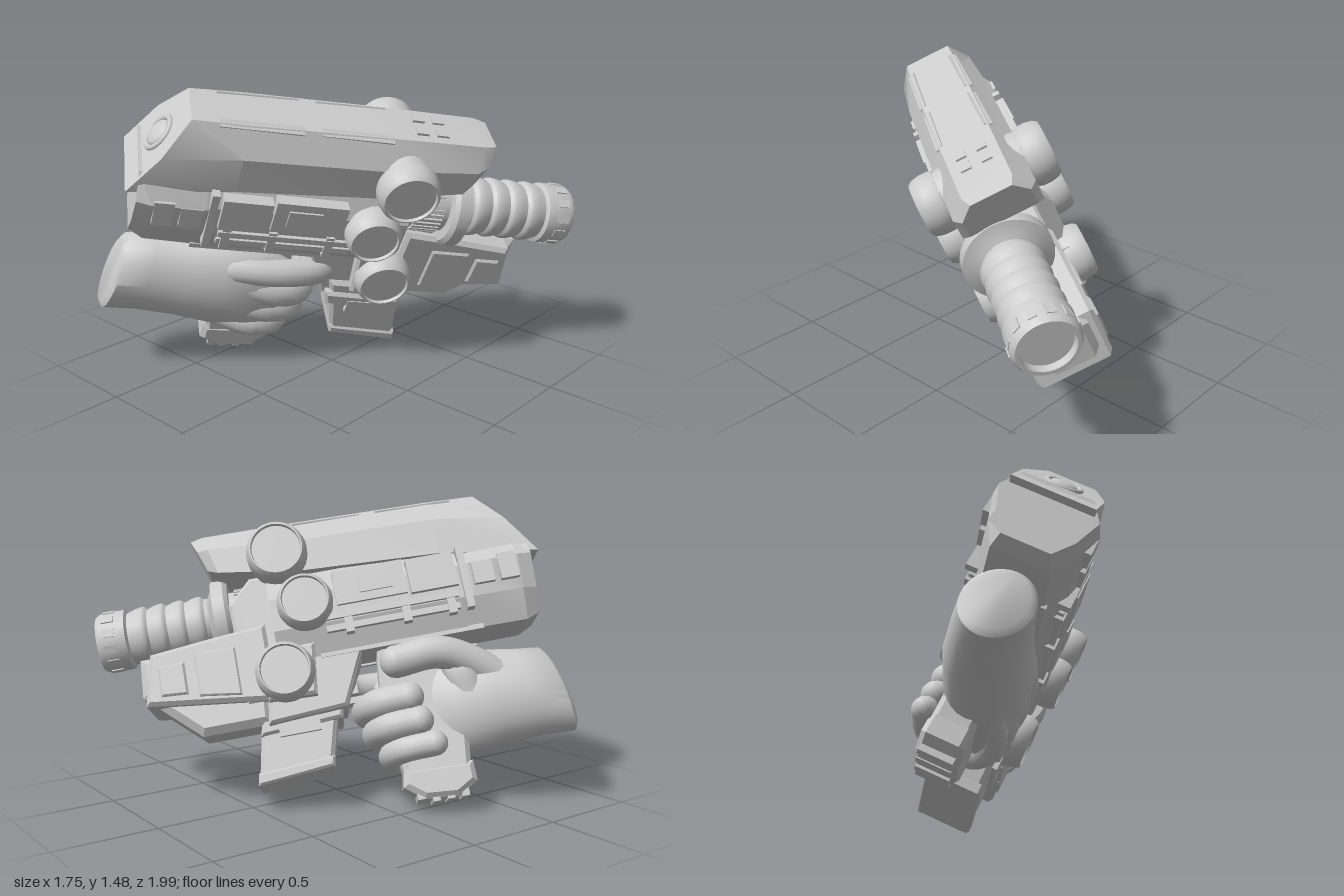
import * as THREE from 'three';
import { toCreasedNormals } from 'three/addons/utils/BufferGeometryUtils.js';

const mat = new THREE.MeshStandardMaterial({ color: 0xcccccc, side: THREE.DoubleSide });

// Working frame: x = towards the muzzle, y = up, z = the gun's right side.
export function createModel() {
  const model = new THREE.Group();
  const gun = new THREE.Group();
  gun.name = 'handAndGun';
  model.add(gun);

  const add = (name, geo, x = 0, y = 0, z = 0, parent = gun) => {
    const m = new THREE.Mesh(geo, mat);
    m.name = name;
    m.position.set(x, y, z);
    parent.add(m);
    return m;
  };
  const box = (name, x0, x1, y0, y1, z0, z1) =>
    add(name, new THREE.BoxGeometry(x1 - x0, y1 - y0, z1 - z0), (x0 + x1) / 2, (y0 + y1) / 2, (z0 + z1) / 2);

  // Side profile extruded across the gun, with bevelled edges
  const slab = (name, pts, width, bevel = 0.015, z = 0) => {
    const shape = new THREE.Shape(pts.map(p => new THREE.Vector2(...p)));
    const geo = new THREE.ExtrudeGeometry(shape, {
      depth: width - 2 * bevel, bevelSize: bevel, bevelThickness: bevel, bevelOffset: -bevel, bevelSegments: 1,
    });
    geo.translate(0, 0, -width / 2 + bevel);
    return add(name, geo, 0, 0, z);
  };

  // Closed skin over a list of rings of [x, y, z]
  const loft = (name, rings, crease) => {
    const n = rings[0].length, last = (rings.length - 1) * n, index = [];
    for (let i = 0; i < rings.length - 1; i++) {
      for (let j = 0; j < n; j++) {
        const a = i * n + j, b = i * n + (j + 1) % n;
        index.push(a, b, b + n, a, b + n, a + n);
      }
    }
    for (let j = 1; j < n - 1; j++) index.push(0, j + 1, j, last, last + j, last + j + 1);
    const geo = new THREE.BufferGeometry();
    geo.setAttribute('position', new THREE.Float32BufferAttribute(rings.flat(2), 3));
    geo.setIndex(index);
    return add(name, toCreasedNormals(geo, crease));
  };

  // Lathe around the barrel axis
  const axisY = 0.19, axisZ = 0.06;
  const turned = (name, pts) => {
    const geo = new THREE.LatheGeometry(pts.map(([x, r]) => new THREE.Vector2(r, x)), 40);
    geo.rotateZ(-Math.PI / 2);
    return add(name, toCreasedNormals(geo, 0.6), 0, axisY, axisZ);
  };

  // Top housing: sheared sections give the sloped rear and front
  const housing = [
    { x: -1.04, b: 0.18, s: 0.38, t: 0.55, w: 0.2, k: 0.64 },
    { x: -0.56, b: 0.25, s: 0.43, t: 0.56, w: 0.21, k: 0 },
    { x: 0.1, b: 0.29, s: 0.45, t: 0.58, w: 0.205, k: 0 },
    { x: 0.52, b: 0.36, s: 0.49, t: 0.59, w: 0.195, k: 0.25 },
    { x: 0.57, b: 0.39, s: 0.5, t: 0.585, w: 0.16, k: 0.35 },
  ].map(({ x, b, s, t, w, k }) =>
    [[t, -0.6 * w], [t, 0.6 * w], [s, w], [b, w], [b, -w], [s, -w]].map(([y, z]) => [x + k * (y - b), y, z]));
  loft('topHousing', housing, 0.5);

  // Button on the sloped rear face
  const button = new THREE.Group();
  button.name = 'rearButton';
  button.position.set(-0.915, 0.375, 0);
  button.quaternion.setFromUnitVectors(new THREE.Vector3(0, 0, 1), new THREE.Vector3(-0.84, 0.54, 0));
  gun.add(button);
  add('buttonRim', new THREE.TorusGeometry(0.08, 0.014, 8, 28), 0, 0, 0, button);
  add('buttonCap', new THREE.SphereGeometry(0.065, 24, 12).scale(1, 1, 0.3), 0, 0, 0.003, button);

  // Receiver body: octagonal section, flared at the upper rear and tapered below
  const body = [[-0.99, 0.235, 0.185, 0.03], [-0.92, 0.255, 0.21, 0], [-0.68, 0.25, 0.22, 0], [-0.62, 0.235, 0.23, 0], [0.3, 0.23, 0.23, 0]]
    .map(([x, w, v, lift]) =>
      [[0.28, -0.17], [0.28, 0.17], [0.16, w], [0, v], [-0.14 + lift, v - 0.07], [-0.14 + lift, 0.07 - v], [0, -v], [0.16, -w]]
        .map(([y, z]) => [x, y, z]));
  loft('receiver', body, 0.2);
  slab('frontBlock', [[0.2, 0.32], [0.38, 0.32], [0.5, 0.2], [0.48, -0.3], [0.2, -0.3]], 0.3);
  slab('lowerFrame', [[-0.12, -0.1], [0.36, -0.1], [0.4, -0.42], [0.02, -0.4]], 0.32);
  slab('drumBlock', [[0.12, -0.08], [0.36, -0.08], [0.38, -0.32], [0.15, -0.33]], 0.44);

  // Mirrored side panels, rails and round drums
  const drumProfile = r => [[0, 0.12], [r * 0.95, 0.12], [r, 0.1], [r, 0.055], [r * 0.95, 0.02], [r * 0.86, 0], [r * 0.82, 0], [r * 0.79, 0.015], [0, 0.015]]
    .map(([a, d]) => new THREE.Vector2(a, -d));
  for (const s of [-1, 1]) {
    const plate = (name, x0, x1, y0, y1, out) =>
      box(name, x0, x1, y0, y1, ...(s > 0 ? [0.14, out] : [-out, -0.14]));
    plate('rearPanel', -0.91, -0.82, 0.05, 0.18, 0.255);
    plate('rearPanelInset', -0.79, -0.69, 0.05, 0.16, 0.255);
    plate('panelRib', -0.665, -0.63, -0.06, 0.25, 0.255);
    plate('upperPanel', -0.61, -0.38, 0.06, 0.23, 0.26);
    plate('upperPanel', -0.365, -0.02, 0.07, 0.24, 0.25);
    plate('panelWindow', -0.3, -0.14, 0.11, 0.2, 0.26);
    plate('sideRail', -0.6, 0.05, 0.005, 0.035, 0.25);
    plate('sideRail', -0.6, 0.05, -0.05, -0.02, 0.235);
    for (const x of [-0.58, -0.36, -0.08]) plate('railClamp', x, x + 0.04, -0.07, 0.05, 0.245);
    plate('lowerRail', -0.7, 0.1, -0.15, -0.125, 0.165);

    [[0.22, 0.385, 0.148, 0.325], [0.13, 0.11, 0.135, 0.325], [0.28, -0.2, 0.142, 0.29]].forEach(([x, y, r, out]) => {
      const drum = new THREE.LatheGeometry(drumProfile(r), 36);
      drum.rotateX(s * Math.PI / 2);
      add('sideDrum', toCreasedNormals(drum, 0.5), x, y, s * out);
      const hub = new THREE.CylinderGeometry(r * 0.85, r * 0.95, out - 0.2, 24);
      hub.rotateX(s * Math.PI / 2);
      add('drumMount', hub, x, y, s * (0.12 + out) / 2);
    });

    // Foregrip side details
    slab('foregripPanel', [[0.5, -0.02], [0.7, -0.02], [0.7, -0.23], [0.5, -0.26]], 0.025, 0.008, 0.01 + s * 0.18);
    slab('foregripInset', [[0.75, -0.05], [0.88, -0.05], [0.88, -0.2], [0.75, -0.21]], 0.025, 0.01, 0.01 + s * 0.18);
    box('magazinePlate', 0.16, 0.36, -0.48, -0.4, s > 0 ? 0.17 : -0.11, s > 0 ? 0.21 : -0.07);

    // Long slots along the shoulders of the housing
    for (const [x0, x1] of [[-0.68, -0.3], [-0.22, 0.12]]) {
      const strip = box('topSlot', x0, x1, -0.006, 0.006, -0.02, 0.02);
      strip.position.set((x0 + x1) / 2, 0.568 + (x0 + x1) * 0.014, s * 0.12);
      strip.rotation.set(s * 0.5, 0, 0.03);
    }
  }
  for (const x of [0.24, 0.34]) for (const z of [-0.05, 0.05]) {
    box('topNub', x, x + 0.06, 0.57, 0.595, z - 0.025, z + 0.025);
  }

  // Foregrip under the barrel: broad cheeks around a deeper, narrower keel
  slab('foregripCheeks', [[0.34, 0.07], [0.6, 0.05], [0.91, 0.02], [0.96, -0.23], [0.34, -0.31]], 0.36, 0.02, 0.01);
  slab('foregripKeel', [[0.36, 0.02], [0.97, 0.02], [0.98, -0.17], [0.72, -0.41], [0.38, -0.41]], 0.25, 0.035);

  // Magazine with a stepped base
  slab('magazine', [[0.04, -0.3], [0.42, -0.3], [0.49, -0.66], [0.13, -0.64]], 0.27, 0.02, 0.05);
  slab('magazineCollar', [[0.03, -0.36], [0.43, -0.37], [0.45, -0.46], [0.05, -0.44]], 0.31, 0.015, 0.05);
  slab('magazineBase', [[0.12, -0.61], [0.49, -0.63], [0.5, -0.69], [0.13, -0.66]], 0.29, 0.012, 0.05);

  // Barrel: base, knurled ring, collar, wavy sleeve and hollow muzzle
  const barrel = [[0.3, 0], [0.3, 0.14], [0.5, 0.14], [0.5, 0.19], [0.52, 0.21], [0.58, 0.21], [0.59, 0.17], [0.61, 0.13]];
  for (let i = 0; i < 4; i++) {
    const x = 0.63 + i * 0.096;
    barrel.push([x, 0.133], [x + 0.014, 0.147], [x + 0.03, 0.15], [x + 0.06, 0.145], [x + 0.08, 0.138]);
  }
  barrel.push([1.02, 0.132], [1.03, 0.152], [1.15, 0.152], [1.175, 0.138], [1.175, 0.12], [1.14, 0.117], [1.14, 0]);
  turned('barrel', barrel);
  for (let i = 0; i < 36; i++) {
    const a = i / 36 * Math.PI * 2;
    const rib = box('knurl', 0.33, 0.47, -0.007, 0.007, -0.008, 0.008);
    rib.position.set(0.4, axisY + 0.145 * Math.cos(a), axisZ + 0.145 * Math.sin(a));
    rib.rotation.x = a;
    if (i % 3) continue;
    const lug = box('muzzleLug', 0, 0.06, 0, 0.018, 0, 0.04);
    lug.position.set(1.11, axisY + 0.147 * Math.cos(a), axisZ + 0.147 * Math.sin(a));
    lug.rotation.x = a;
  }

  // Pistol grip, heel plate, trigger and guard
  slab('pistolGrip', [[-0.5, -0.1], [-0.18, -0.1], [-0.15, -0.35], [-0.19, -0.8], [-0.5, -0.82], [-0.53, -0.6]], 0.19, 0.025, 0.02);
  slab('gripHeel', [[-0.52, -0.75], [-0.19, -0.73], [-0.17, -0.82], [-0.26, -0.89], [-0.42, -0.905], [-0.52, -0.85]], 0.2, 0.025, 0.02);
  for (let i = 0; i < 4; i++) box('heelRib', -0.47 + i * 0.07, -0.435 + i * 0.07, -0.91 + Math.max(0, i - 2) * 0.02, -0.78, -0.06, 0.1);
  box('triggerGuard', -0.16, 0.1, -0.37, -0.34, -0.04, 0.06);
  box('trigger', -0.05, -0.01, -0.32, -0.12, -0.02, 0.03);

  // Wrist and palm, elliptical rings slanted at the cuff
  const palm = [
    [-1.03, -0.47, 0.03, 0.19, 0.12, 0.2], [-1.01, -0.47, 0.03, 0.22, 0.15, 0.2], [-0.86, -0.46, 0.025, 0.225, 0.165, 0.15],
    [-0.68, -0.45, 0.03, 0.245, 0.185, 0.08], [-0.5, -0.44, 0.06, 0.27, 0.19, 0], [-0.34, -0.44, 0.1, 0.27, 0.15, 0],
    [-0.22, -0.44, 0.13, 0.24, 0.1, 0], [-0.14, -0.44, 0.13, 0.19, 0.05, 0],
  ].map(([x, y, z, ry, rz, slant]) => Array.from({ length: 32 }, (_, j) => {
    const a = j / 32 * Math.PI * 2, c = Math.cos(a) * ry;
    return [x + slant * c, y + c, z + Math.sin(a) * rz];
  }));
  loft('palmAndWrist', palm, 0.9);

  // Fingers: tubes along curves, closed with rounded ends
  const finger = (name, r, pts) => {
    const path = new THREE.CatmullRomCurve3(pts.map(p => new THREE.Vector3(...p)));
    add(name, new THREE.TubeGeometry(path, 36, r, 14));
    for (const p of [pts[0], pts[pts.length - 1]]) add(name + 'End', new THREE.SphereGeometry(r, 14, 10), ...p);
  };
  finger('indexFinger', 0.07, [[-0.62, -0.33, 0.09], [-0.42, -0.28, 0.16], [-0.2, -0.26, 0.18], [-0.02, -0.26, 0.13], [0.03, -0.26, 0.03], [0.02, -0.26, -0.09]]);
  [[-0.41, -0.075, 0.073], [-0.53, -0.1, 0.07], [-0.65, -0.15, 0.062]].forEach(([y, front, r], i) => {
    finger(['middleFinger', 'ringFinger', 'littleFinger'][i], r, [
      [-0.64, y * 0.5 - 0.2, 0.08], [-0.45, y + 0.04, 0.15], [front - 0.14, y + 0.02, 0.185], [front - 0.02, y, 0.13],
      [front, y, 0.0], [front - 0.06, y, -0.11], [front - 0.2, y, -0.14]]);
  });
  finger('thumb', 0.08, [[-0.74, -0.38, -0.05], [-0.6, -0.28, -0.1], [-0.45, -0.22, -0.14], [-0.25, -0.23, -0.14]]);
  finger('thumbWeb', 0.09, [[-0.62, -0.32, 0.09], [-0.55, -0.25, 0], [-0.55, -0.3, -0.07], [-0.58, -0.44, -0.05]]);

  // Pose: turned, tipped forward and rolled
  gun.rotation.set(0.436, 1.0, -0.175, 'YZX');
  gun.position.set(0, 0.8, 0);
  return model;
}
